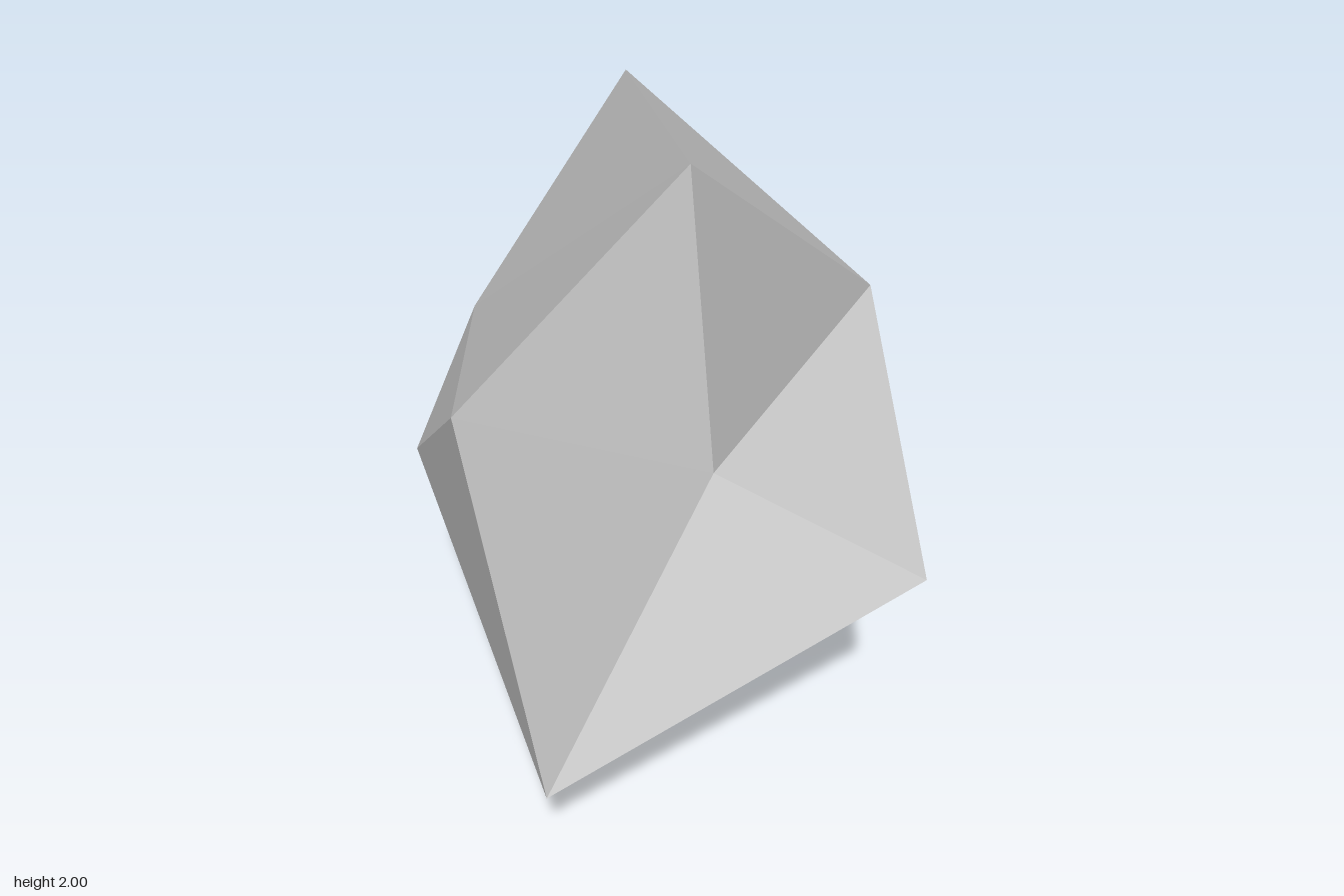
import * as THREE from 'three';

// Low-poly boulder: an icosahedron with its twelve corners pulled out of place.
const corners = {
  peak: [0, 2, 0.54],
  frontShoulder: [-0.5, 1.64, 0.87],
  frontToe: [-0.35, 0.56, 0.89],
  frontDent: [0.05, 1.25, 0.6],
  leftBrow: [0.52, 1.01, 0.72],
  leftRidge: [0.55, 1.11, -0.32],
  backHip: [0.63, 0.65, -0.76],
  backCrest: [-0.055, 1.53, -0.76],
  tail: [0.095, 0.88, -0.89],
  base: [0.09, 0, -0.27],
  rightHip: [-0.63, 0.94, 0.06],
  rightRidge: [-0.48, 1.04, -0.41],
};

// Each ring walks around one corner; the faces between form the closed shell.
const fans = [
  ['peak', ['frontShoulder', 'frontDent', 'leftRidge', 'backCrest', 'rightRidge', 'frontShoulder']],
  ['base', ['frontToe', 'leftBrow', 'backHip', 'tail', 'rightHip', 'frontToe']],
  ['frontDent', ['frontShoulder', 'frontToe', 'leftBrow', 'leftRidge']],
  ['backHip', ['leftBrow', 'leftRidge', 'backCrest', 'tail']],
  ['rightRidge', ['frontShoulder', 'rightHip', 'tail', 'backCrest']],
];
const singles = [['frontShoulder', 'frontToe', 'rightHip']];

export function createModel() {
  const faces = [...singles];
  for (const [hub, ring] of fans) {
    for (let i = 0; i + 1 < ring.length; i++) faces.push([hub, ring[i], ring[i + 1]]);
  }

  // Turn every face so that it looks away from the middle of the rock
  const middle = new THREE.Vector3(0, 1, 0);
  const positions = [];
  for (const face of faces) {
    const [a, b, c] = face.map((name) => new THREE.Vector3(...corners[name]));
    const normal = b.clone().sub(a).cross(c.clone().sub(a));
    const outward = a.clone().add(b).add(c).divideScalar(3).sub(middle);
    const order = normal.dot(outward) > 0 ? [a, b, c] : [a, c, b];
    for (const p of order) positions.push(p.x, p.y, p.z);
  }
  const geometry = new THREE.BufferGeometry();
  geometry.setAttribute('position', new THREE.Float32BufferAttribute(positions, 3));
  geometry.computeVertexNormals();

  const stone = new THREE.MeshStandardMaterial({ color: 0xcccccc });
  stone.name = 'paleGreyStone';
  stone.flatShading = true;

  const boulder = new THREE.Mesh(geometry, stone);
  boulder.name = 'boulder';
  const group = new THREE.Group();
  group.name = 'rock';
  group.add(boulder);
  return group;
}
